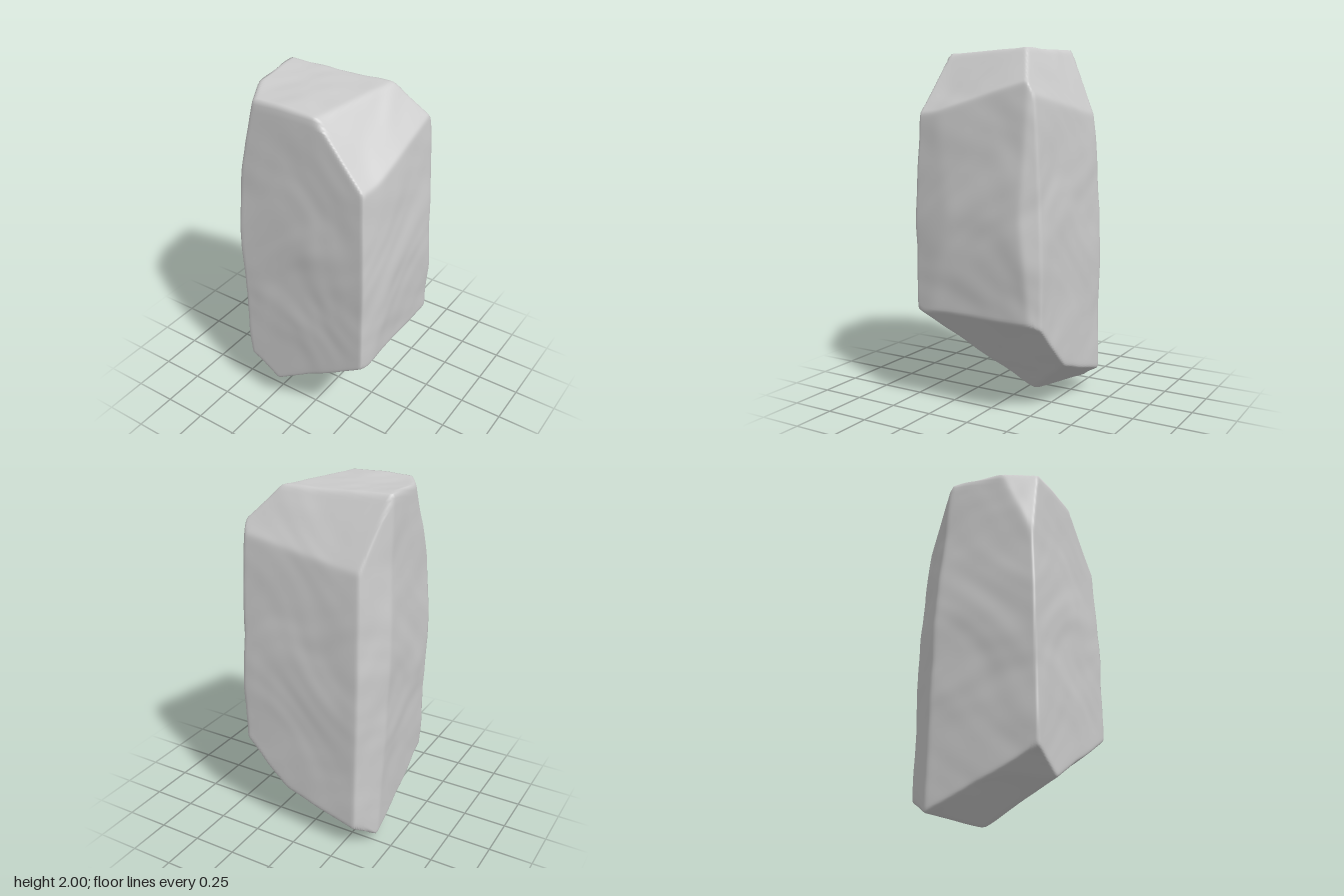
import * as THREE from 'three';
import { mergeVertices } from 'three/addons/utils/BufferGeometryUtils.js';

const CENTRE = new THREE.Vector3(0, 1, 0);
const BELT = 1.1; // height where the rock is widest

// Outline at the belt: x, z, then how far the wall to the next point leans in above and below
const WALLS = [
  [-0.395, 0.383, 0.035, 0.003], // front
  [0.41, 0.383, 0.05, 0.01], // left front strip
  [0.442, 0.15, 0.075, 0.045], // left
  [0.432, -0.285, 0.05, 0], // left back corner
  [0.375, -0.384, 0.07, -0.008], // back
  [-0.345, -0.384, 0.068, 0.005], // right back corner
  [-0.445, -0.215, 0.036, 0.03], // right
];

// Slanted cuts, each a plane through three points
const TIP = [-0.17, 0, -0.05];
const LOW_FRONT = [-0.18, 0.2, 0.38];
const CUTS = [
  [[-0.2, 1.998, -0.1], [0.2, 1.987, -0.1], [0, 1.975, 0.35]], // top
  [[-0.3, 1.985, -0.175], [-0.3, 1.66, -0.335], [0.3, 1.74, -0.335]], // back of the top
  [[0.11, 1.97, 0.34], [0.22, 1.97, -0.18], [0.39, 1.64, 0.36]], // left shoulder
  [[-0.41, 1.98, 0.12], [-0.27, 1.98, 0.36], [-0.405, 1.4, 0.37]], // right front corner
  [[0.41, 0.55, 0.38], [0.41, 0.56, -0.3], TIP], // underside
  [[0.41, 0.57, 0.38], LOW_FRONT, TIP], // underside, front
  [[-0.4, 0.33, 0.38], LOW_FRONT, TIP], // underside, right front
  [TIP, [-0.4, 0.025, -0.22], [-0.3, 0.15, -0.39]], // underside, back
];

// Normal scaled so that normal . direction = 1 / distance from the centre
function plane(normal, point) {
  return normal.divideScalar(normal.dot(point.clone().sub(CENTRE)));
}

function cutPlane(points) {
  const [a, b, c] = points.map((p) => new THREE.Vector3(...p));
  return plane(b.clone().sub(a).cross(c.clone().sub(a)), a);
}

// Upper and lower plane of one wall
function wallPlanes([x, z, leanUp, leanDown], i) {
  const [nextX, nextZ] = WALLS[(i + 1) % WALLS.length];
  const out = new THREE.Vector3(z - nextZ, 0, nextX - x).normalize();
  const point = new THREE.Vector3(x, BELT, z);
  return [leanUp, -leanDown].map((lean) => plane(out.clone().setY(lean), point));
}

// Gentle blotchy weathering
function weathering({ x, y, z }) {
  const u = x + 0.09 * Math.sin(7 * y + 5 * z);
  const v = y + 0.09 * Math.sin(8 * x - 6 * z + 1);
  const w = z + 0.09 * Math.sin(6 * y - 7 * x + 2);
  return 0.004 * Math.sin(11 * u + 1) * Math.sin(9 * v) + 0.004 * Math.sin(12 * w) * Math.cos(10 * v + 1)
    + 0.002 * Math.sin(23 * u) * Math.sin(21 * v + 2) * Math.cos(22 * w);
}

function rockGeometry() {
  const planes = [...WALLS.flatMap(wallPlanes), ...CUTS.map(cutPlane)];
  let geo = new THREE.BoxGeometry(0.86, 2, 0.77, 56, 124, 50);
  geo.deleteAttribute('uv');
  geo.deleteAttribute('normal');
  geo = mergeVertices(geo);
  const pos = geo.attributes.position;
  const dir = new THREE.Vector3();
  const sharpness = 140;
  for (let i = 0; i < pos.count; i++) {
    dir.fromBufferAttribute(pos, i).normalize();
    // nearest plane along this direction, blended a little at the edges
    const inverse = planes.map((n) => Math.max(0, n.dot(dir)));
    const most = Math.max(...inverse);
    const sum = inverse.reduce((s, v) => s + (v / most) ** sharpness, 0);
    dir.divideScalar(most * sum ** (1 / sharpness));
    dir.addScaledVector(dir.clone().normalize(), weathering(dir));
    pos.setXYZ(i, dir.x, dir.y, dir.z);
  }
  // stand on the ground
  geo.computeBoundingBox();
  const { min, max } = geo.boundingBox;
  geo.translate(-(min.x + max.x) / 2, -min.y, -(min.z + max.z) / 2);
  geo.computeVertexNormals();
  return geo;
}

export function createModel() {
  const stone = new THREE.MeshStandardMaterial({ color: 0xcccccc });
  stone.name = 'stone grey';
  const rock = new THREE.Mesh(rockGeometry(), stone);
  rock.name = 'rock';
  const group = new THREE.Group();
  group.name = 'standing rock';
  group.add(rock);
  return group;
}
